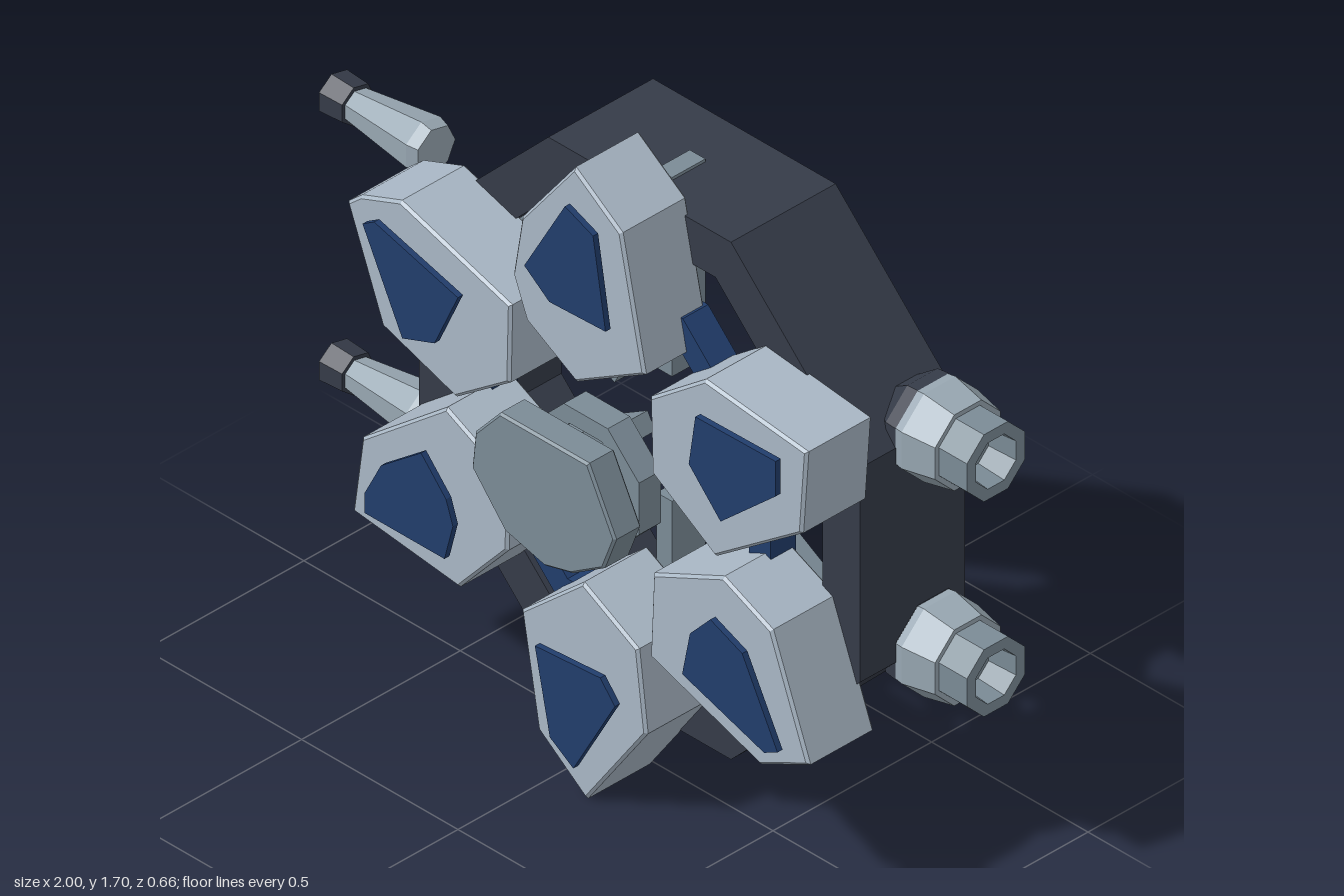
import * as THREE from 'three';

const CX = 0.094, CY = 0.855; // wheel centre

function material(name, color) {
  const m = new THREE.MeshStandardMaterial({ color, flatShading: true });
  m.name = name;
  return m;
}

const toPoints = (flat) => {
  const pts = [];
  for (let i = 0; i < flat.length; i += 2) pts.push(new THREE.Vector2(flat[i], flat[i + 1]));
  return pts;
};

// Flat-sided octagon points around the wheel centre
const octagon = (apothem) => Array.from({ length: 8 }, (_, i) => {
  const a = (i + 0.5) * Math.PI / 4, r = apothem / Math.cos(Math.PI / 8);
  return new THREE.Vector2(CX + r * Math.cos(a), CY + r * Math.sin(a));
});

// Extrusion between two z values with an optional small bevel
function slab(shape, z0, z1, bevel = 0) {
  const geo = new THREE.ExtrudeGeometry(shape, {
    depth: z1 - z0 - 2 * bevel, bevelEnabled: bevel > 0,
    bevelSize: bevel, bevelThickness: bevel, bevelOffset: -bevel, bevelSegments: 1,
  });
  return geo.translate(0, 0, z0 + bevel);
}

function octagonRing(outer, inner, z0, z1) {
  const shape = new THREE.Shape(octagon(outer));
  shape.holes.push(new THREE.Path(octagon(inner)));
  return slab(shape, z0, z1);
}

// Turned part along the x axis: profile pairs are [x, radius]
function turned(profile, sides) {
  const pts = profile.map(([x, r]) => new THREE.Vector2(r, x));
  return new THREE.LatheGeometry(pts, sides, Math.PI / sides).rotateZ(-Math.PI / 2);
}

// Irregular armour blocks and the panel in front of each
const PODS = [
  { block: [0.08, 1.706, 0.23, 1.6, 0.305, 1.25, 0.085, 1.123, -0.075, 1.214, -0.118, 1.32, -0.09, 1.487],
    panel: [0.08, 1.615, 0.17, 1.578, 0.21, 1.337, 0.03, 1.33, -0.05, 1.39] },
  { block: [-0.476, 1.342, -0.123, 1.23, -0.128, 1.016, -0.3, 0.893, -0.535, 0.973, -0.647, 1.257, -0.604, 1.294],
    panel: [-0.53, 1.273, -0.262, 1.198, -0.337, 1.037, -0.44, 1.0, -0.567, 1.25] },
  { block: [-0.33, 0.85, -0.128, 0.75, -0.134, 0.556, -0.289, 0.38, -0.63, 0.422, -0.6, 0.636],
    panel: [-0.38, 0.717, -0.3, 0.63, -0.278, 0.567, -0.305, 0.465, -0.56, 0.465, -0.56, 0.52, -0.508, 0.62] },
  { block: [0.107, 0.588, 0.283, 0.492, 0.31, 0.273, 0.118, 0.002, -0.037, 0.118, -0.09, 0.417],
    panel: [-0.016, 0.37, 0.193, 0.385, 0.24, 0.33, 0.107, 0.096, 0.032, 0.144] },
  { block: [0.497, 1.332, 0.824, 1.294, 0.807, 1.064, 0.53, 0.866, 0.326, 0.995, 0.32, 1.198],
    panel: [0.497, 1.246, 0.754, 1.25, 0.754, 1.155, 0.578, 1.0, 0.476, 1.107] },
  { block: [0.33, 0.722, 0.556, 0.824, 0.711, 0.754, 0.83, 0.444, 0.674, 0.369, 0.32, 0.492],
    panel: [0.545, 0.717, 0.647, 0.674, 0.76, 0.46, 0.717, 0.438, 0.455, 0.524, 0.48, 0.647] },
];
const HUB = [-0.043, 1.032, 0.24, 1.032, 0.326, 0.866, 0.289, 0.77, 0.187, 0.706,
  0.1, 0.684, -0.027, 0.717, -0.134, 0.84, -0.123, 0.941];

export function createModel() {
  const group = new THREE.Group();
  const pale = material('pale hull', 0xa9b7c5);
  const grey = material('mid grey', 0x7b8b96);
  const light = material('light metal', 0x98a7b2);
  const dark = material('dark frame', 0x353b48);
  const blue = material('deep blue', 0x213d6c);

  const add = (name, geo, mat, parent = group) => {
    const mesh = new THREE.Mesh(geo, mat);
    mesh.name = name;
    parent.add(mesh);
    return mesh;
  };

  // Rings
  add('outerRing', octagonRing(0.705, 0.585, -0.31, 0.02), dark);
  add('innerRing', octagonRing(0.48, 0.41, 0.0, 0.08), blue);
  add('hubRing', octagonRing(0.17, 0.125, 0.12, 0.19), grey);

  // Spokes reaching through the outer ring
  for (let i = 0; i < 6; i++) {
    const a = Math.PI / 6 + i * Math.PI / 3;
    const spoke = add('spoke', new THREE.BoxGeometry(0.543, 0.05, 0.105), grey);
    spoke.position.set(CX + 0.4415 * Math.cos(a), CY + 0.4415 * Math.sin(a), -0.11);
    spoke.rotation.z = a;
  }

  // Armour pods with floating panels
  for (const { block, panel } of PODS) {
    add('podBlock', slab(new THREE.Shape(toPoints(block)), 0.005, 0.213, 0.007), pale);
    add('podPanel', slab(new THREE.Shape(toPoints(panel)), 0.226, 0.242), blue);
  }

  // Central plate
  add('hubPlate', slab(new THREE.Shape(toPoints(HUB)), 0.242, 0.327, 0.006), grey);

  // Thrusters on the left side
  for (const y of [1.152, 0.566]) {
    const thruster = new THREE.Group();
    thruster.name = 'thruster';
    thruster.position.set(0, y, -0.21);
    add('thrusterMount', turned([[0.64, 0], [0.64, 0.04], [0.71, 0.085], [0.765, 0.125], [0.8, 0.129]], 8), dark, thruster);
    add('thrusterBody', turned([[0.785, 0], [0.785, 0.125], [0.82, 0.13], [0.91, 0.112], [0.91, 0]], 8), light, thruster);
    add('thrusterNozzle', turned([[0.9, 0.099], [1.0, 0.099], [1.0, 0.068], [0.92, 0.06], [0.92, 0]], 8), grey, thruster);
    group.add(thruster);
  }

  // Detached tapered barrels on the right side
  for (const y of [1.23, 0.497]) {
    const barrel = new THREE.Group();
    barrel.name = 'barrel';
    barrel.position.set(0, y, -0.1);
    add('barrelBody', turned([[-0.94, 0], [-0.94, 0.042], [-0.71, 0.071], [-0.68, 0.062], [-0.68, 0]], 7), light, barrel);
    add('barrelTip', turned([[-0.96, 0], [-0.96, 0.034], [-1.0, 0.038], [-1.0, 0.058], [-0.93, 0.054], [-0.93, 0]], 7), dark, barrel);
    group.add(barrel);
  }

  return group;
}
